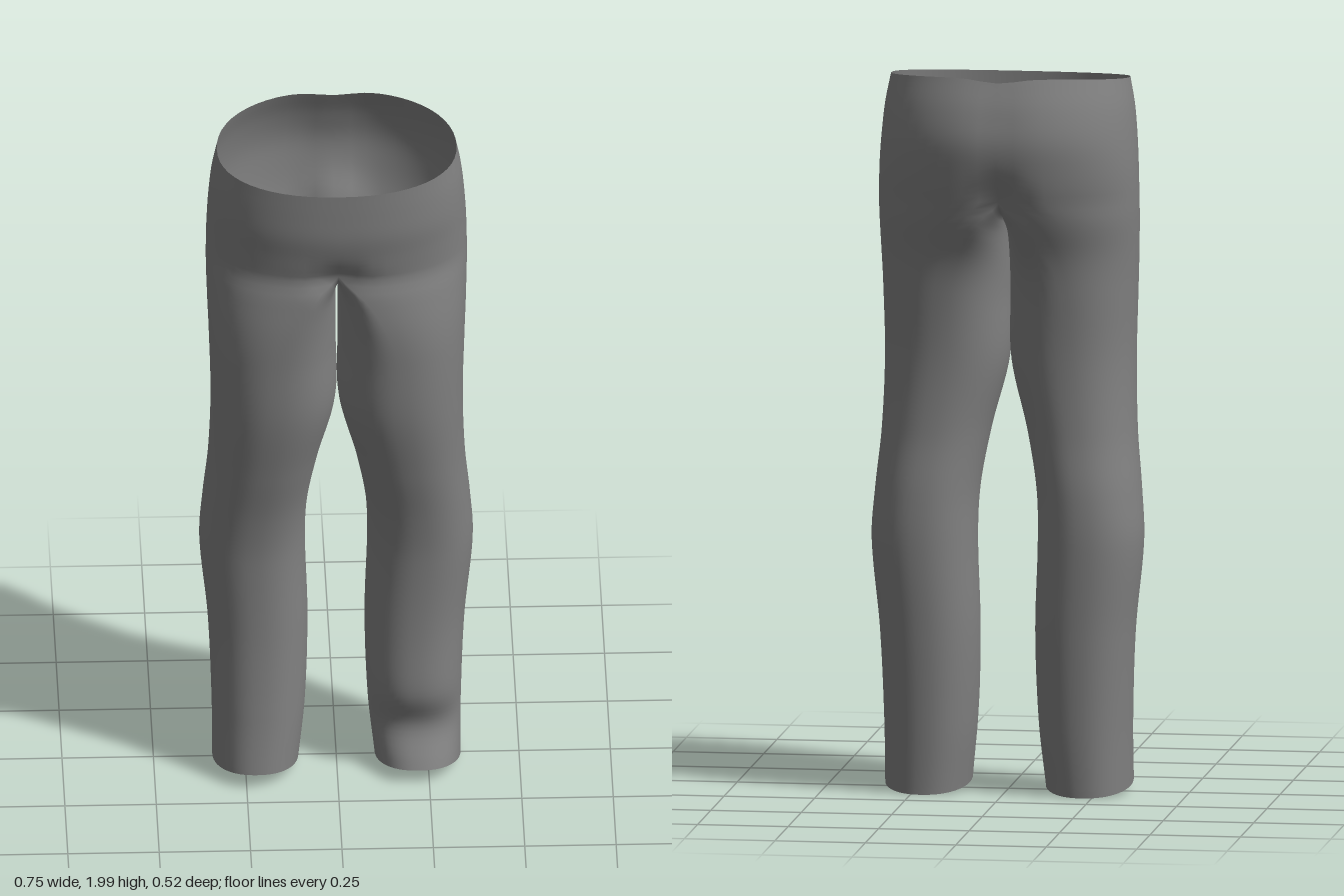
import * as THREE from 'three';
import { mergeVertices } from 'three/addons/utils/BufferGeometryUtils.js';

const WAIST = 1.975, CROTCH = 1.66, HEM = 0.025;
const HALF = 28; // steps around half a ring

// y, outer x, inner x, leg centre x, front z, back z, z of widest point
const SECTIONS = [
  [1.975, 0.328, 0, 0, 0.262, -0.21, 0.04],
  [1.9, 0.342, 0, 0, 0.262, -0.244, 0.03],
  [1.82, 0.35, 0, 0, 0.26, -0.262, 0.02],
  [1.74, 0.355, 0, 0, 0.248, -0.254, 0.01],
  [1.66, 0.357, 0, 0, 0.238, -0.235, 0.01],
  [1.6, 0.357, 0.003, 0.07, 0.24, -0.208, 0.015],
  [1.5, 0.354, 0.003, 0.13, 0.245, -0.168, 0.03],
  [1.4, 0.35, 0.003, 0.16, 0.243, -0.151, 0.04],
  [1.2, 0.345, 0.004, 0.175, 0.231, -0.139, 0.04],
  [1.0, 0.351, 0.052, 0.2, 0.194, -0.147, 0.02],
  [0.84, 0.366, 0.08, 0.222, 0.16, -0.168, 0],
  [0.7, 0.374, 0.085, 0.229, 0.142, -0.176, -0.015],
  [0.45, 0.351, 0.078, 0.215, 0.138, -0.17, -0.015],
  [0.2, 0.341, 0.086, 0.213, 0.158, -0.159, 0],
  [0.025, 0.34, 0.104, 0.222, 0.18, -0.149, 0.015],
];

const clamp01 = (v) => Math.min(1, Math.max(0, v));
const bell = (v, w) => Math.exp(-((v / w) ** 2));

// Smooth (Hermite) interpolation of the section table at height y
function sectionAt(y) {
  const n = SECTIONS.length;
  let i = 0;
  while (i < n - 2 && y < SECTIONS[i + 1][0]) i++;
  const a = SECTIONS[i], b = SECTIONS[i + 1];
  const p = SECTIONS[Math.max(0, i - 1)], q = SECTIONS[Math.min(n - 1, i + 2)];
  const h = b[0] - a[0], t = (y - a[0]) / h;
  return a.map((v, k) => {
    const m0 = ((b[k] - p[k]) / (b[0] - p[0])) * h;
    const m1 = ((q[k] - a[k]) / (q[0] - a[0])) * h;
    return v * (1 + 2 * t) * (1 - t) ** 2 + m0 * t * (1 - t) ** 2
      + b[k] * t * t * (3 - 2 * t) + m1 * t * t * (t - 1);
  });
}

// Point on one side of the garment; a = 0 front, PI/2 outer side, PI back, beyond that the inner thigh
function surfacePoint(y, a, side) {
  let [, xo, xi, xc, zf, zb, zm] = sectionAt(y);
  if (y >= CROTCH - 1e-6) { xi = 0; xc = 0; }
  const s = Math.abs(Math.sin(a)), c = Math.cos(a);
  const inner = a > Math.PI + 1e-6;
  const sp = s < 1e-9 ? 0 : s ** 0.9;
  const x = inner ? xc - (xc - xi) * sp : xc + (xo - xc) * sp;

  // crumpled shin above the left hem
  if (side > 0) zf -= 0.05 * bell(y - 0.14, 0.09);
  const cp = Math.abs(c) ** (c > 0 ? 0.88 : 0.95);
  let z = zm + (c > 0 ? zf - zm : zb - zm) * cp;

  // centre seam pinched in towards the crotch, front and back
  const nearCrotch = bell(y - CROTCH, 0.06);
  const backSeam = 0.008 * clamp01((WAIST - y) / 0.1) + 0.03 * nearCrotch;
  const pinch = c > 0 ? 0.026 * nearCrotch : backSeam * clamp01((y - 1.4) / 0.15);
  z -= pinch * c * bell(x, 0.055);
  // crease running outwards from the crotch
  if (c > 0) z -= 0.008 * bell(y - 1.655, 0.025) * bell(x, 0.13) * c;

  // waist slopes down to the front, hems rise at the front, crotch sags in the middle
  const top = clamp01((y - CROTCH) / (WAIST - CROTCH));
  const hem = clamp01(1 - (y - HEM) / 0.25);
  let py = y + top * (c > 0 ? -0.025 * c : -0.027 * c * (1 - 0.5 * bell(x, 0.07)));
  py += hem * (c > 0 ? 0.025 * c : 0.02 * c);
  if (inner) py -= 0.06 * s * clamp01((y - 1.3) / (CROTCH - 1.3));
  return [side * x, py, z];
}

const positions = [], indices = [];

// Grid of rings between two heights; legs are closed loops, hips are half loops
function addTube(yTop, yBottom, rows, steps, side) {
  const base = positions.length / 3;
  for (let i = 0; i <= rows; i++) {
    const y = yTop + ((yBottom - yTop) * i) / rows;
    for (let j = 0; j <= steps; j++) {
      positions.push(...surfacePoint(y, (j * Math.PI) / HALF, side));
    }
  }
  for (let i = 0; i < rows; i++) {
    for (let j = 0; j < steps; j++) {
      const a = base + i * (steps + 1) + j, b = a + 1;
      const c = a + steps + 1, d = c + 1;
      if (side > 0) indices.push(a, c, b, b, c, d);
      else indices.push(a, b, c, b, d, c);
    }
  }
}

export function createModel() {
  positions.length = 0;
  indices.length = 0;
  for (const side of [1, -1]) {
    addTube(WAIST, CROTCH, 18, HALF, side);       // hips
    addTube(CROTCH, HEM, 80, HALF * 2, side);     // leg
  }
  // weld hips and legs into one smooth cloth shell
  let cloth = new THREE.BufferGeometry();
  cloth.setAttribute('position', new THREE.Float32BufferAttribute(positions, 3));
  cloth.setIndex(indices);
  cloth = mergeVertices(cloth, 1e-4);
  cloth.computeVertexNormals();

  const fabric = new THREE.MeshStandardMaterial({ color: 0x808080, side: THREE.DoubleSide });
  fabric.name = 'grey fabric';
  const trousers = new THREE.Mesh(cloth, fabric);
  trousers.name = 'trousers';

  const group = new THREE.Group();
  group.name = 'trousersModel';
  group.add(trousers);
  return group;
}
